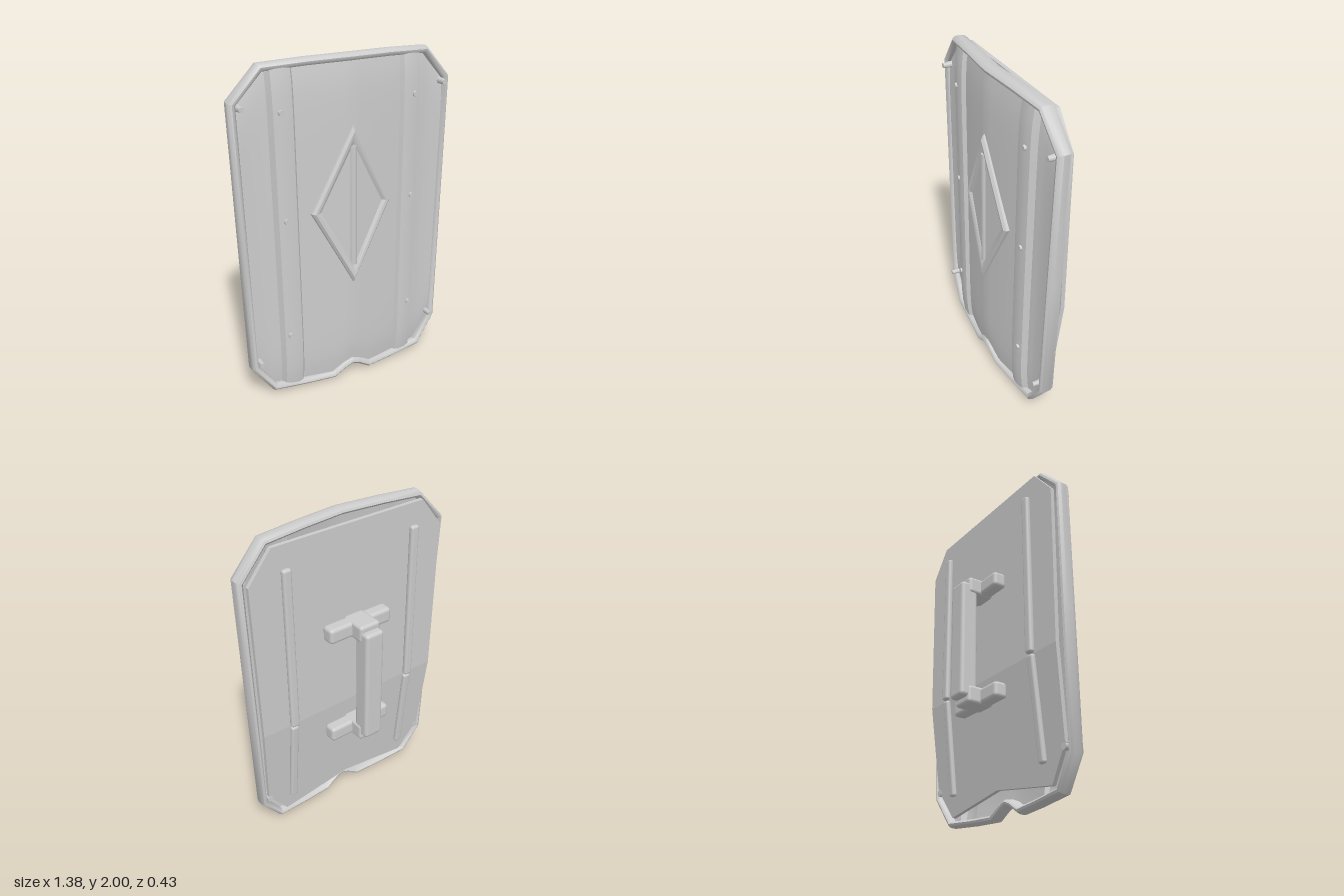
import * as THREE from 'three';
import { toCreasedNormals } from 'three/addons/utils/BufferGeometryUtils.js';
import { RoundedBoxGeometry } from 'three/addons/geometries/RoundedBoxGeometry.js';

const material = new THREE.MeshStandardMaterial({ color: 0xcccccc });
const thin = new THREE.MeshStandardMaterial({ color: 0xcccccc, side: THREE.DoubleSide });
const { lerp } = THREE.MathUtils;

// Bowed, slightly tilted front surface
const frontZ = (x, y) => 0.205 - 0.02 * y - 0.08 * Math.abs(x);

// Piecewise linear lookup in [[x, value], ...]
function lookup(table, x) {
  for (let i = 1; i < table.length; i++) {
    const [x0, v0] = table[i - 1], [x1, v1] = table[i];
    if (x <= x1) return lerp(v0, v1, (x - x0) / (x1 - x0));
  }
  return table[table.length - 1][1];
}

function build(positions, indices, crease) {
  const g = new THREE.BufferGeometry();
  g.setAttribute('position', new THREE.Float32BufferAttribute(positions, 3));
  g.setIndex(indices);
  return toCreasedNormals(g, crease);
}

// Sweep a closed section [inward, z] round a closed counter-clockwise outline with mitred corners
function sweep(outline, section, crease) {
  const n = outline.length, m = section.length, pos = [], idx = [];
  outline.forEach(([x, y], i) => {
    const [px, py] = outline[(i + n - 1) % n], [qx, qy] = outline[(i + 1) % n];
    const a = new THREE.Vector2(py - y, x - px).normalize();
    const b = new THREE.Vector2(y - qy, qx - x).normalize();
    const mitre = a.clone().add(b).divideScalar(1 + a.dot(b));
    for (const [d, z] of section) pos.push(x + mitre.x * d, y + mitre.y * d, frontZ(x, y) + z);
    for (let j = 0; j < m; j++) {
      const k = (j + 1) % m, r = ((i + 1) % n) * m;
      idx.push(i * m + j, r + j, r + k, i * m + j, r + k, i * m + k);
    }
  });
  return build(pos, idx, crease);
}

// Mirror a right-hand list of points (bottom to top) into a full loop
const mirrored = (pts) => [...pts, ...pts.filter(([x]) => x > 0).reverse().map(([x, y]) => [-x, y])];

// Embossed front sheet: columns follow the clipped corners and the notch
function faceGeometry() {
  const relief = [[0, -0.004], [0.3, -0.008], [0.5, -0.016], [0.525, 0.006], [0.57, 0.012], [0.64, 0.012],
    [0.69, 0.006], [0.72, -0.024], [0.82, -0.03], [0.92, -0.024], [1, -0.02]];
  const top = [[0, 1.98], [0.51, 1.97], [0.68, 1.78]];
  const bottom = [[0, 0.09], [0.12, 0.03], [0.51, 0.05], [0.64, 0.23]];
  const right = [0, 0.09, 0.18, 0.3, 0.42, 0.5, 0.525, 0.57, 0.64, 0.69, 0.72, 0.77, 0.82, 0.92, 1];
  const cols = [...right.slice(1).reverse().map((s) => -s), ...right];
  const rows = 24, pos = [], idx = [];
  cols.forEach((s, i) => {
    for (let j = 0; j <= rows; j++) {
      const t = j / rows, x = s * lerp(0.635, 0.67, t), a = Math.abs(x);
      const y = lerp(lookup(bottom, a), lookup(top, a), t);
      const dip = 0.02 * Math.pow(Math.abs(2 * t - 1), 10);
      pos.push(x, y, frontZ(x, y) + lookup(relief, Math.abs(s)) - dip);
      if (i && j) {
        const c = i * (rows + 1) + j, p = c - rows - 1;
        idx.push(p - 1, c - 1, c, p - 1, c, p);
      }
    }
  });
  return build(pos, idx, 0.35);
}

// Flat backing panel cut from a loop of points
function panel(points) {
  const shape = new THREE.Shape(points.map(([x, y]) => new THREE.Vector2(x, y)));
  return new THREE.ExtrudeGeometry(shape, { depth: 0.024, bevelEnabled: false });
}

export function createModel() {
  const group = new THREE.Group();
  const add = (name, geometry, x = 0, y = 0, z = 0, mat = material) => {
    const mesh = new THREE.Mesh(geometry, mat);
    mesh.name = name;
    mesh.position.set(x, y, z);
    group.add(mesh);
    return mesh;
  };
  const box = (name, w, h, d, x, y, z, r = 0.015) => add(name, new RoundedBoxGeometry(w, h, d, 2, r), x, y, z);

  // Rim and front sheet
  const outline = mirrored([[0, 0.07], [0.04, 0.055], [0.12, 0.004], [0.3, 0.012], [0.52, 0.03], [0.65, 0.21],
    [0.67, 1], [0.69, 1.8], [0.52, 1.985], [0.26, 1.996], [0, 2]]);
  const rimSection = [[0, -0.03], [0.006, -0.01], [0.018, 0], [0.03, -0.002], [0.04, -0.012], [0.042, -0.03],
    [0.034, -0.08], [0.022, -0.09], [0.01, -0.085], [0.002, -0.065]];
  add('rim', sweep(outline, rimSection, 0.75));
  add('frontSheet', faceGeometry(), 0, 0, 0, thin);

  // Diamond boss: raised frame, sunken roof and centre ridge
  const diamond = [[0, 0.65], [0.26, 1.13], [0, 1.62], [-0.26, 1.13]];
  add('diamondFrame', sweep(diamond, [[0, -0.03], [0.004, 0.006], [0.018, 0.02], [0.034, 0.018],
    [0.055, 0.002], [0.055, -0.03]], 0.6));
  const lozenge = [0, 0.76, frontZ(0, 0.76) + 0.006, 0.2, 1.13, frontZ(0.2, 1.13) + 0.002,
    0, 1.51, frontZ(0, 1.51) + 0.006, -0.2, 1.13, frontZ(0.2, 1.13) + 0.002];
  add('diamondPanel', build(lozenge, [0, 1, 2, 0, 2, 3], 0.1));
  const ridge = add('diamondRidge', new THREE.CylinderGeometry(0.024, 0.024, 0.72, 8), 0, 1.135, 0.178);
  ridge.rotation.x = -0.02;

  // Backing plate: straight upper half, lower half leaning toward the front
  add('backPlateUpper', panel([[-0.63, 0.8], [0.63, 0.8], [0.645, 1.77], [0.5, 1.95], [-0.5, 1.95], [-0.645, 1.77]]), 0, 0, 0.004);
  const lower = panel([[0, 0.15], [0.47, 0.08], [0.605, 0.27], [0.63, 0.8], [-0.63, 0.8], [-0.605, 0.27], [-0.47, 0.08]]);
  const p = lower.attributes.position;
  for (let i = 0; i < p.count; i++) p.setZ(i, p.getZ(i) + 0.1 * (0.8 - p.getY(i)));
  lower.computeVertexNormals();
  add('backPlateLower', lower, 0, 0, 0.004);

  // Mirrored stiffening bars and rivets
  for (const side of [-1, 1]) {
    box('upperBar', 0.055, 1.02, 0.036, side * 0.43, 1.31, -0.012);
    box('lowerBar', 0.05, 0.6, 0.034, side * 0.43, 0.495, 0.024).rotation.x = -0.1;
    const rivets = [[0.41, 0.4, 0.04], [0.41, 1.12, 0.04], [0.42, 1.73, 0.04], [0.633, 1.77, 0.06], [0.595, 0.25, 0.12]];
    for (const [x, y, length] of rivets) {
      const stud = new THREE.CylinderGeometry(0.015, 0.021, length, 8).rotateX(Math.PI / 2);
      add('rivet', stud, side * x, y, frontZ(x, y) + 0.022 - length / 2);
    }
  }

  // Handle
  box('grip', 0.125, 0.73, 0.11, 0, 1.005, -0.16, 0.022);
  for (const y of [1.355, 0.655]) {
    box('gripMount', 0.14, 0.105, 0.17, 0, y, -0.085, 0.02);
    box('crossBar', 0.43, 0.095, 0.085, 0, y, -0.048, 0.022);
  }
  return group;
}
